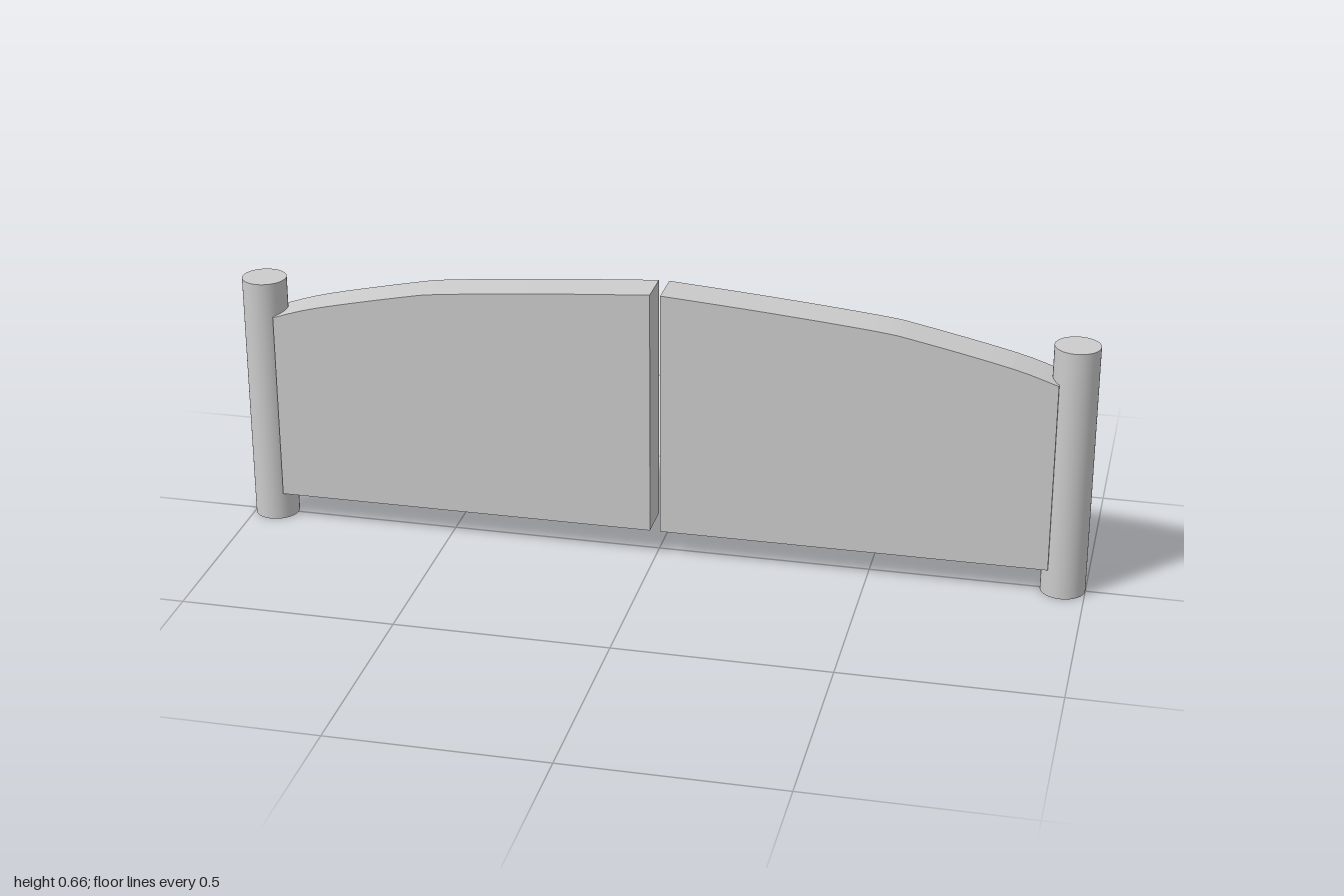
import * as THREE from 'three';

const HALF_THICKNESS = 0.048;
const POST_RADIUS = 0.052;
const POST_HEIGHT = 0.606;

export function createModel() {
  const model = new THREE.Group();
  model.name = 'doubleGate';
  const material = new THREE.MeshStandardMaterial({ color: 0xcccccc });

  // Gate leaf outline: flat bottom, arched top falling towards the post
  function leafGeometry(side) {
    const top = [[0.012, 0.66], [0.25, 0.642], [0.5, 0.619], [0.6, 0.603], [0.81, 0.557], [0.915, 0.524]];
    const arch = new THREE.SplineCurve(top.map(([x, y]) => new THREE.Vector2(side * x, y)));
    const outline = [
      new THREE.Vector2(side * 0.915, 0.068),
      new THREE.Vector2(side * 0.012, 0.068),
      ...arch.getPoints(20),
    ];
    const geometry = new THREE.ExtrudeGeometry(new THREE.Shape(outline), {
      depth: 2 * HALF_THICKNESS,
      bevelEnabled: false,
    });
    return geometry.translate(0, 0, -HALF_THICKNESS);
  }

  for (const [side, name] of [[1, 'left'], [-1, 'right']]) {
    const leaf = new THREE.Mesh(leafGeometry(side), material);
    leaf.name = name + 'Leaf';

    // Round hinge post at the outer end of the leaf
    const post = new THREE.Mesh(
      new THREE.CylinderGeometry(POST_RADIUS, POST_RADIUS, POST_HEIGHT, 48),
      material
    );
    post.name = name + 'Post';
    post.position.set(side * (1 - POST_RADIUS), POST_HEIGHT / 2, 0);

    model.add(leaf, post);
  }
  return model;
}
